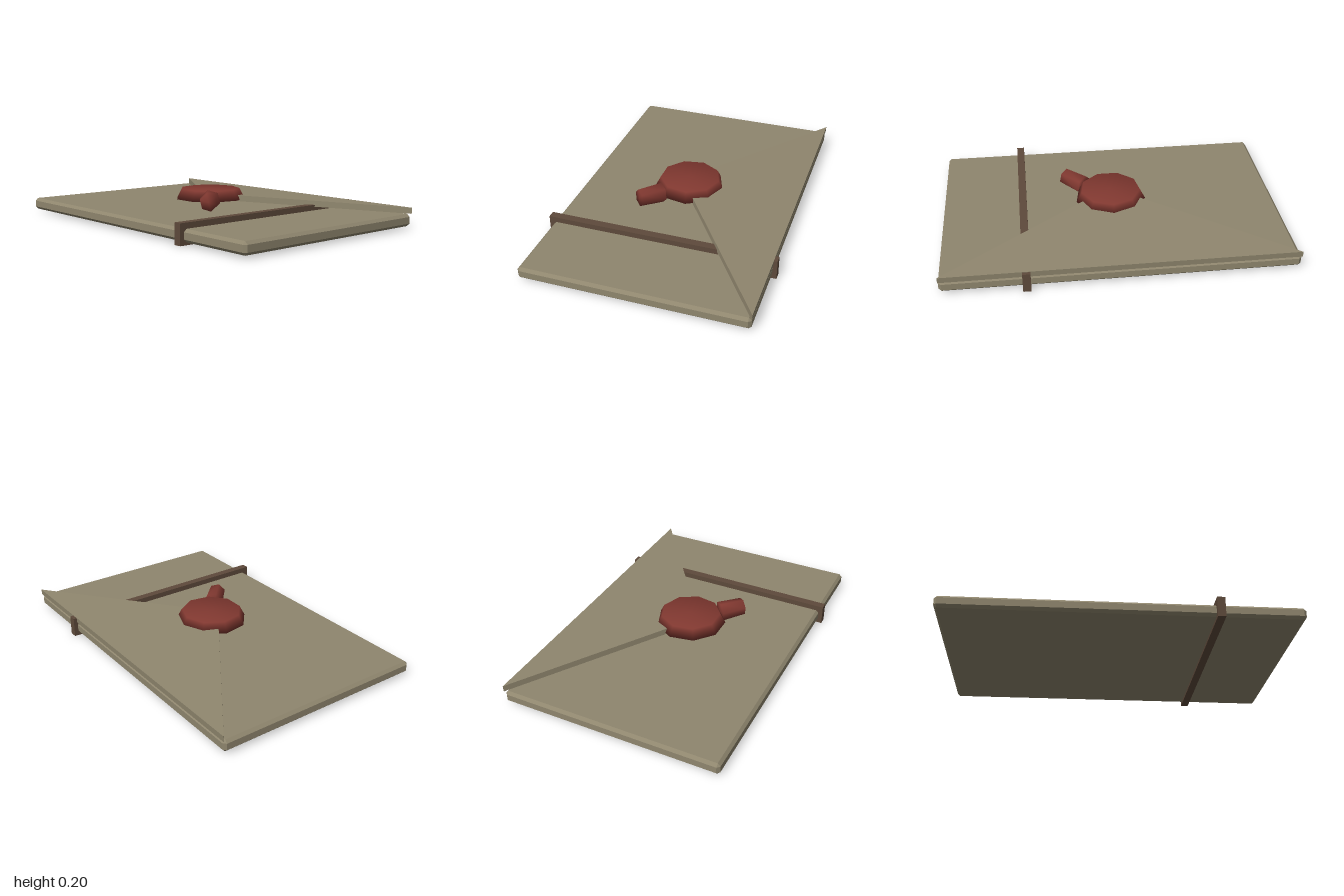
import * as THREE from 'three';
import { mergeVertices } from 'three/addons/utils/BufferGeometryUtils.js';
import { ConvexGeometry } from 'three/addons/geometries/ConvexGeometry.js';

const material = (name, color) => Object.assign(new THREE.MeshStandardMaterial({ color }), { name });

// Box with every edge chamfered by b
function chamferedBox(w, h, d, b) {
  const points = [];
  for (const x of [-w / 2, w / 2]) for (const y of [-h / 2, h / 2]) for (const z of [-d / 2, d / 2]) {
    const ix = x - Math.sign(x) * b, iy = y - Math.sign(y) * b, iz = z - Math.sign(z) * b;
    points.push(new THREE.Vector3(x, iy, iz), new THREE.Vector3(ix, y, iz), new THREE.Vector3(ix, iy, z));
  }
  return new ConvexGeometry(points);
}

// Few-sided wax lump with normals blended over its edges
function waxLump(top, bottom, height, sides) {
  const g = new THREE.CylinderGeometry(top, bottom, height, sides);
  g.deleteAttribute('uv');
  g.deleteAttribute('normal');
  const merged = mergeVertices(g);
  merged.computeVertexNormals();
  return merged;
}

export function createModel() {
  const group = new THREE.Group();
  const paper = material('paper', 0x8f866e);
  const wax = material('sealing wax', 0x803830);
  const leather = material('leather', 0x5e4a3b);

  const add = (name, geometry, mat, x, y, z) => {
    const mesh = new THREE.Mesh(geometry, mat);
    mesh.name = name;
    mesh.position.set(x, y, z);
    group.add(mesh);
    return mesh;
  };

  // Envelope body
  add('envelopeBody', chamferedBox(2, 0.07, 1.29, 0.016), paper, 0, 0.05, 0);

  // Triangular flap, hinged at the back and rising towards its tip
  const triangle = new THREE.Shape([
    new THREE.Vector2(-1, 0), new THREE.Vector2(1, 0), new THREE.Vector2(0, 0.7),
  ]);
  const flap = new THREE.ExtrudeGeometry(triangle, { depth: 0.035, bevelEnabled: false });
  flap.rotateX(Math.PI / 2 - 0.065);
  add('flap', flap, paper, 0, 0.12, -0.65);

  // Strap around the envelope
  add('strap', new THREE.BoxGeometry(0.045, 0.117, 1.34), leather, 0.527, 0.0585, 0);

  // Wax seal and its drip
  const seal = add('waxSeal', waxLump(0.178, 0.21, 0.06, 9), wax, 0, 0.162, 0);
  seal.rotation.y = Math.PI;
  const drip = add('waxDrip', waxLump(0.052, 0.06, 0.15, 6), wax, 0.203, 0.147, 0.178);
  drip.quaternion.setFromUnitVectors(
    new THREE.Vector3(0, 1, 0), new THREE.Vector3(0.72, 0.04, 0.7).normalize());

  return group;
}
